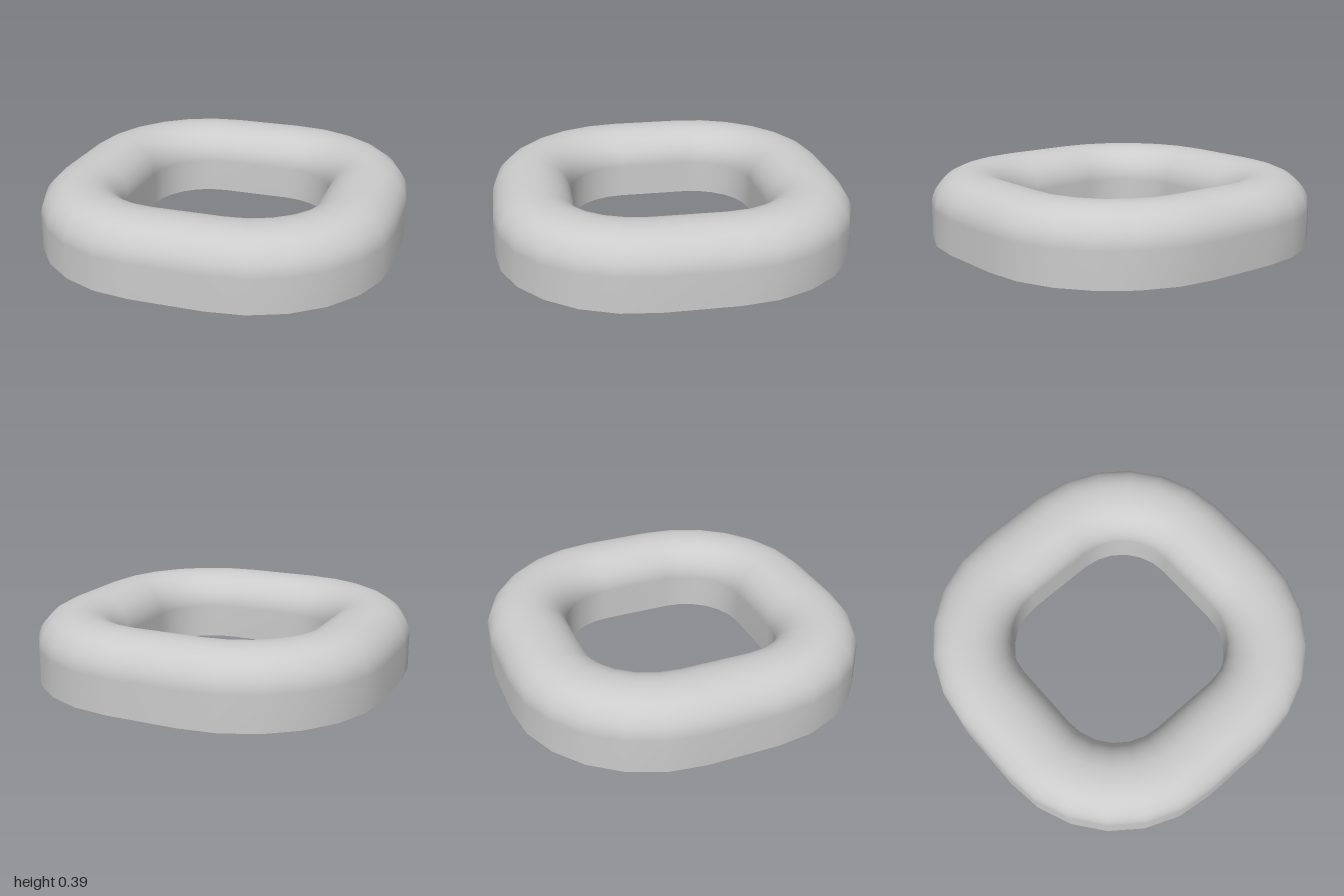
import * as THREE from 'three';

const CORE = 0.2;          // half length of each straight side; also the corner centre
const OUTER = 0.8, INNER = 0.345; // corner radii of the outer and inner walls
const HEIGHT = 0.39, SHOULDER = 0.195, ROUND = 0.215;
const CORNER_STEPS = 6, ARC_STEPS = 10;

// Cross-section [radius, y]: up the outer wall, over the rounded top, down the inner wall
function crossSection() {
  const pts = [[OUTER, 0]];
  const arc = (centre, from) => {
    for (let i = 0; i <= ARC_STEPS; i++) {
      const a = from + (i / ARC_STEPS) * Math.PI / 2;
      pts.push([centre + Math.cos(a) * ROUND, SHOULDER + Math.sin(a) * (HEIGHT - SHOULDER)]);
    }
  };
  arc(OUTER - ROUND, 0);
  arc(INNER + ROUND, Math.PI / 2);
  pts.push([INNER, 0]);
  return pts;
}

// Sweep the section around a rounded square, leaving the underside open
function ringGeometry() {
  const section = crossSection(), positions = [], indices = [];
  const n = section.length, rings = 4 * (CORNER_STEPS + 1);
  for (let corner = 0; corner < 4; corner++) {
    const mid = (corner + 0.5) * Math.PI / 2;
    const cx = Math.sign(Math.cos(mid)) * CORE, cz = Math.sign(Math.sin(mid)) * CORE;
    for (let i = 0; i <= CORNER_STEPS; i++) {
      const a = (corner + i / CORNER_STEPS) * Math.PI / 2;
      for (const [r, y] of section) positions.push(cx + Math.cos(a) * r, y, cz + Math.sin(a) * r);
    }
  }
  for (let i = 0; i < rings; i++) {
    const next = (i + 1) % rings;
    for (let j = 0; j < n - 1; j++) {
      const a = i * n + j, b = next * n + j;
      indices.push(a, a + 1, b, a + 1, b + 1, b);
    }
  }
  const geometry = new THREE.BufferGeometry();
  geometry.setAttribute('position', new THREE.Float32BufferAttribute(positions, 3));
  geometry.setIndex(indices);
  geometry.computeVertexNormals();
  return geometry;
}

export function createModel() {
  const group = new THREE.Group();
  group.name = 'roundedSquareRing';
  const material = new THREE.MeshStandardMaterial({ color: 0xcccccc, side: THREE.DoubleSide });
  const shell = new THREE.Mesh(ringGeometry(), material);
  shell.name = 'ringShell';
  group.add(shell);
  return group;
}
